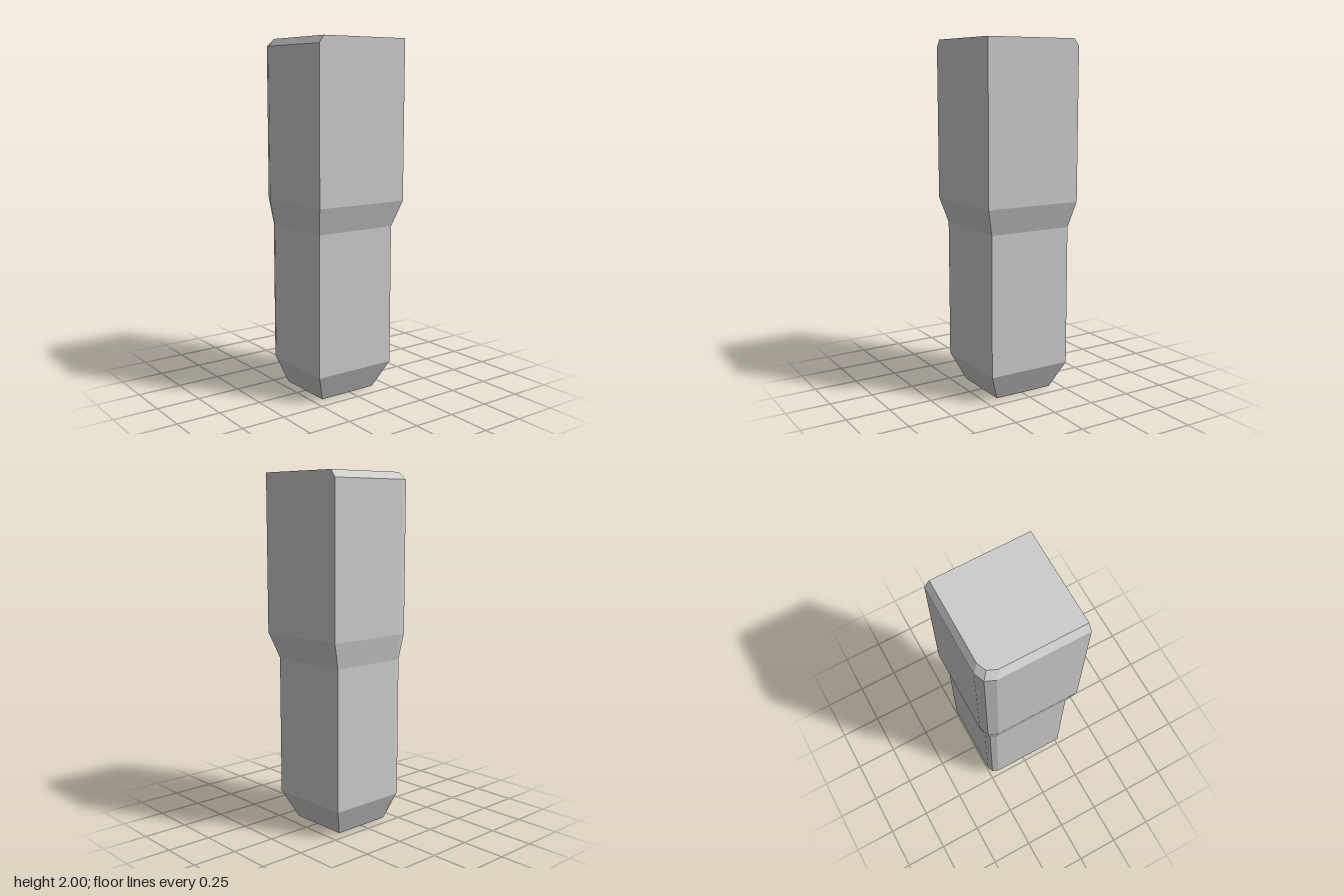
import * as THREE from 'three';

// Square section whose front corner at -x is rounded by two facets:
// a = reach towards -x and +z, b = reach towards +x and -z, c = corner cut
function section([y, a, b, c]) {
  const k = 0.3 * c;
  return [[b, -b], [-a, -b], [-a, a - c], [-a + k, a - k], [-a + c, a], [b, a]]
    .map(([x, z]) => [x, y, z]);
}

// Joins the sections from bottom to top and closes both ends
function loft(levels) {
  const rings = levels.map(section);
  const n = rings[0].length;
  const positions = [];
  const tri = (...corners) => corners.forEach((p) => positions.push(...p));
  for (let r = 0; r < rings.length - 1; r++) {
    const low = rings[r], high = rings[r + 1];
    for (let i = 0; i < n; i++) {
      const j = (i + 1) % n;
      tri(low[i], low[j], high[j]);
      tri(low[i], high[j], high[i]);
    }
  }
  const bottom = rings[0], top = rings[rings.length - 1];
  for (let i = 1; i < n - 1; i++) {
    tri(bottom[0], bottom[i + 1], bottom[i]);
    tri(top[0], top[i], top[i + 1]);
  }
  const geometry = new THREE.BufferGeometry();
  geometry.setAttribute('position', new THREE.Float32BufferAttribute(positions, 3));
  geometry.computeVertexNormals();
  return geometry;
}

export function createModel() {
  const group = new THREE.Group();
  group.name = 'pillar';
  const material = new THREE.MeshStandardMaterial({ color: 0xcccccc, flatShading: true });

  // Tapered foot, narrow shaft, flared shoulder, wide head and top bevel
  const column = new THREE.Mesh(loft([
    [0, 0.19, 0.167, 0.006],
    [0.157, 0.258, 0.239, 0.05],
    [0.957, 0.258, 0.239, 0.05],
    [1.105, 0.286, 0.285, 0.076],
    [1.96, 0.286, 0.285, 0.076],
    [2, 0.257, 0.285, 0.072],
  ]), material);
  column.name = 'column';
  group.add(column);
  return group;
}
